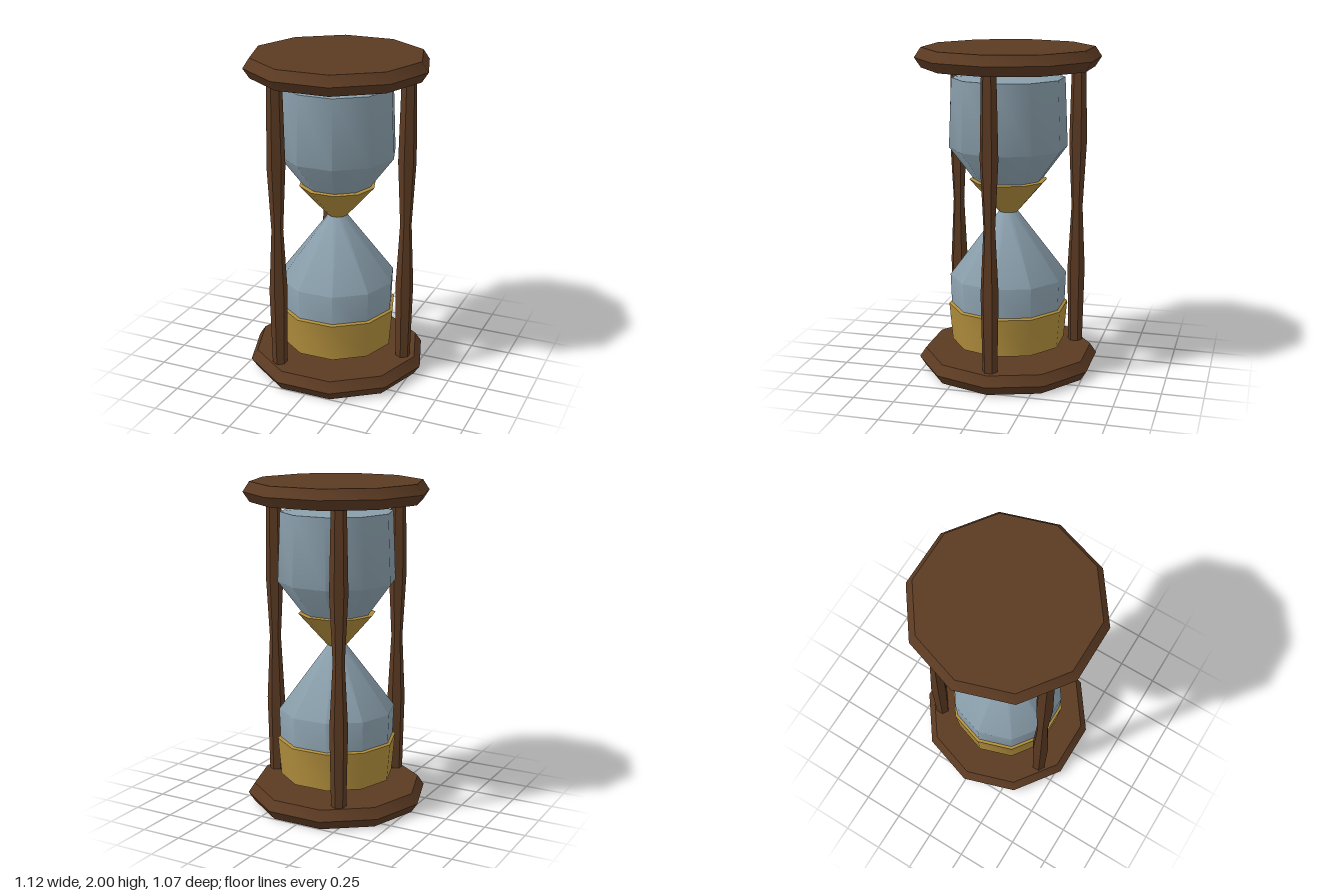
import * as THREE from 'three';
import { toCreasedNormals } from 'three/addons/utils/BufferGeometryUtils.js';

const wood = new THREE.MeshStandardMaterial({ color: 0x5b3a22 });
wood.name = 'wood';
const glass = new THREE.MeshStandardMaterial({ color: 0x8a9fac });
glass.name = 'glass';
const sand = new THREE.MeshStandardMaterial({ color: 0xb08d3c });
sand.name = 'sand';

// Turned part from a bottom-to-top [radius, y] profile
function turned(name, profile, sides, material, start = Math.PI / 2) {
  const points = profile.map(([r, y]) => new THREE.Vector2(r, y));
  const geometry = toCreasedNormals(new THREE.LatheGeometry(points, sides, start), 0.7);
  const mesh = new THREE.Mesh(geometry, material);
  mesh.name = name;
  return mesh;
}

export function createModel() {
  const model = new THREE.Group();
  model.name = 'hourglass';

  // Bevelled ten-sided end plates
  const plate = [[0, 0], [0.52, 0], [0.56, 0.06], [0.52, 0.12], [0, 0.12]];
  const basePlate = turned('basePlate', plate, 10, wood);
  const topPlate = turned('topPlate', plate, 10, wood);
  topPlate.position.y = 1.88;
  model.add(basePlate, topPlate);

  // Three swelling posts around the glass
  const post = [[0.045, 0.11], [0.055, 0.6], [0.035, 1], [0.055, 1.4], [0.045, 1.89]];
  for (let i = 0; i < 3; i++) {
    const a = (i * Math.PI * 2) / 3;
    const mesh = turned('post' + (i + 1), post, 6, wood, 0);
    mesh.position.set(0.445 * Math.cos(a), 0, 0.445 * Math.sin(a));
    model.add(mesh);
  }

  // Two glass bulbs meeting at the neck
  model.add(turned('lowerBulb', [[0, 0.35], [0.351, 0.35], [0.36, 0.6], [0.058, 1]], 10, glass));
  model.add(turned('upperBulb', [[0.058, 1], [0.36, 1.4], [0.342, 1.82], [0, 1.86]], 10, glass));

  // Sand resting in the bottom and running out of the top
  model.add(turned('lowerSand', [[0, 0.135], [0.35, 0.175], [0.37, 0.41], [0.35, 0.42], [0, 0.44]], 10, sand));
  model.add(turned('upperSand', [[0, 1], [0.06, 1], [0.238, 1.2], [0.2, 1.207], [0, 1.21]], 10, sand));

  return model;
}
